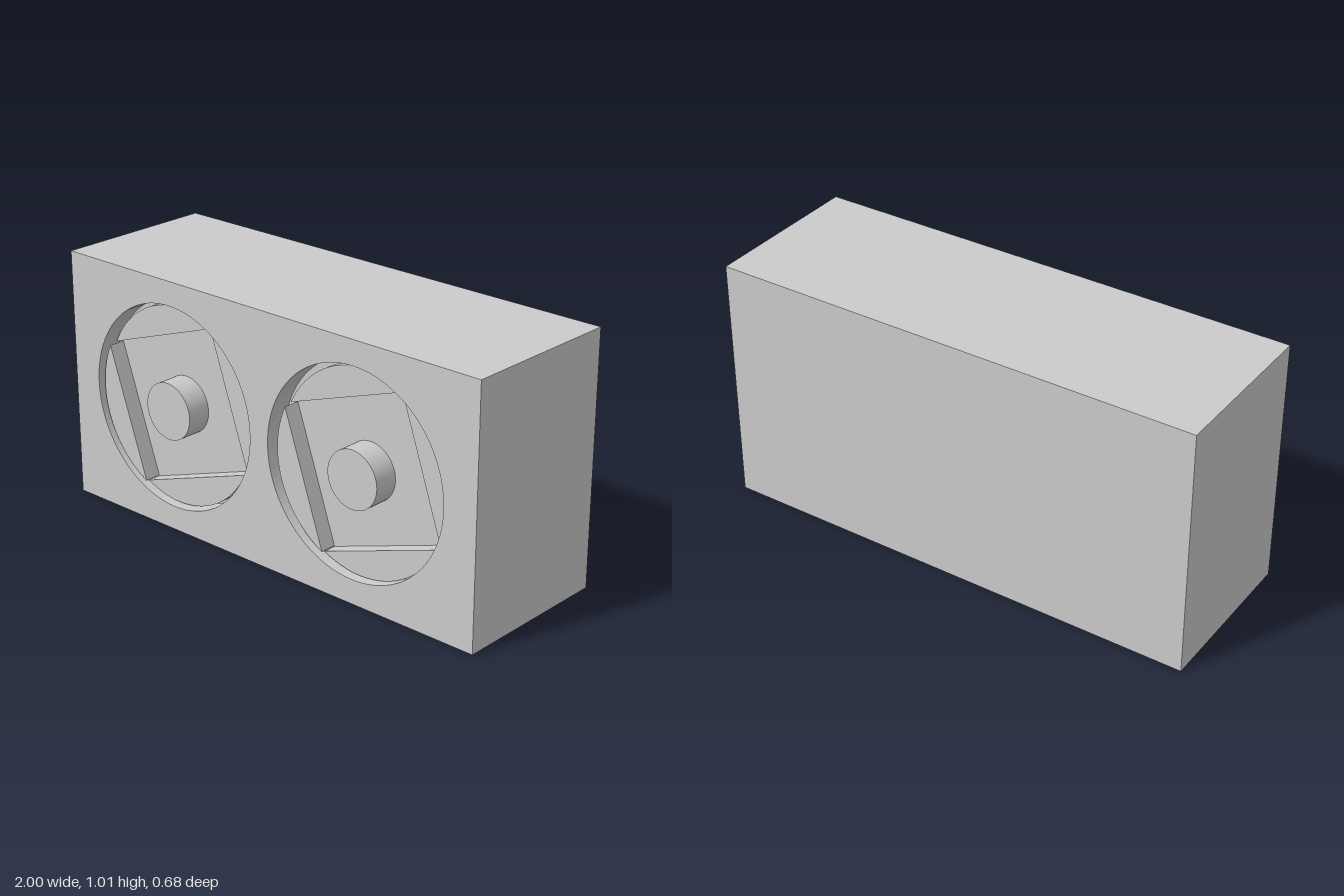
import * as THREE from 'three';

const W = 2, H = 1.015, BACK = -0.34, FRONT = 0.33, FLOOR = 0.24;
const HOLE_R = 0.41, HOLE_Y = 0.508, HUB_R = 0.115, HUB_Y = 0.495;
const FANS = [
  { name: 'rightFan', holeX: -0.461, hubX: -0.471 },
  { name: 'leftFan', holeX: 0.448, hubX: 0.455 },
];
// Quarter sectors: start angle (degrees), radius, height of the face in z
const SECTORS = [
  { start: 64, r: 0.398, z: 0.268 },
  { start: 154, r: 0.389, z: 0.308 },
  { start: 244, r: 0.393, z: 0.293 },
  { start: 334, r: 0.394, z: 0.277 },
];

const material = new THREE.MeshStandardMaterial({ color: 0xcccccc });

function addMesh(parent, name, geometry) {
  const mesh = new THREE.Mesh(geometry, material);
  mesh.name = name;
  parent.add(mesh);
  return mesh;
}

// Extrude a shape from z0 to z1
function extrude(shape, z0, z1) {
  const g = new THREE.ExtrudeGeometry(shape, { depth: z1 - z0, bevelEnabled: false, curveSegments: 48 });
  return g.translate(0, 0, z0);
}

function createFan({ name, hubX }) {
  const fan = new THREE.Group();
  fan.name = name;
  fan.position.set(hubX, HUB_Y, 0);
  // Stepped quarter blades
  for (const { start, r, z } of SECTORS) {
    const a = THREE.MathUtils.degToRad(start);
    const shape = new THREE.Shape();
    shape.moveTo(0, 0);
    shape.absarc(0, 0, r, a, a + Math.PI / 2, false);
    shape.closePath();
    addMesh(fan, 'blade', extrude(shape, FLOOR, z));
  }
  // Hub standing slightly proud of the front
  const depth = 0.34 - FLOOR;
  const hub = new THREE.CylinderGeometry(HUB_R, HUB_R, depth, 48);
  hub.rotateX(Math.PI / 2).translate(0, 0, FLOOR + depth / 2);
  addMesh(fan, 'hub', hub);
  return fan;
}

export function createModel() {
  const model = new THREE.Group();
  model.name = 'twinFanBox';

  // Solid rear of the casing; its front is the floor of the recesses
  const rear = new THREE.BoxGeometry(W, H, FLOOR - BACK);
  rear.translate(0, H / 2, (FLOOR + BACK) / 2);
  addMesh(model, 'casing', rear);

  // Front panel with two round openings
  const panel = new THREE.Shape([
    new THREE.Vector2(-W / 2, 0), new THREE.Vector2(W / 2, 0),
    new THREE.Vector2(W / 2, H), new THREE.Vector2(-W / 2, H),
  ]);
  for (const { holeX } of FANS) {
    panel.holes.push(new THREE.Path().absarc(holeX, HOLE_Y, HOLE_R, 0, Math.PI * 2, true));
  }
  addMesh(model, 'frontPanel', extrude(panel, FLOOR, FRONT));

  for (const fan of FANS) model.add(createFan(fan));
  return model;
}
